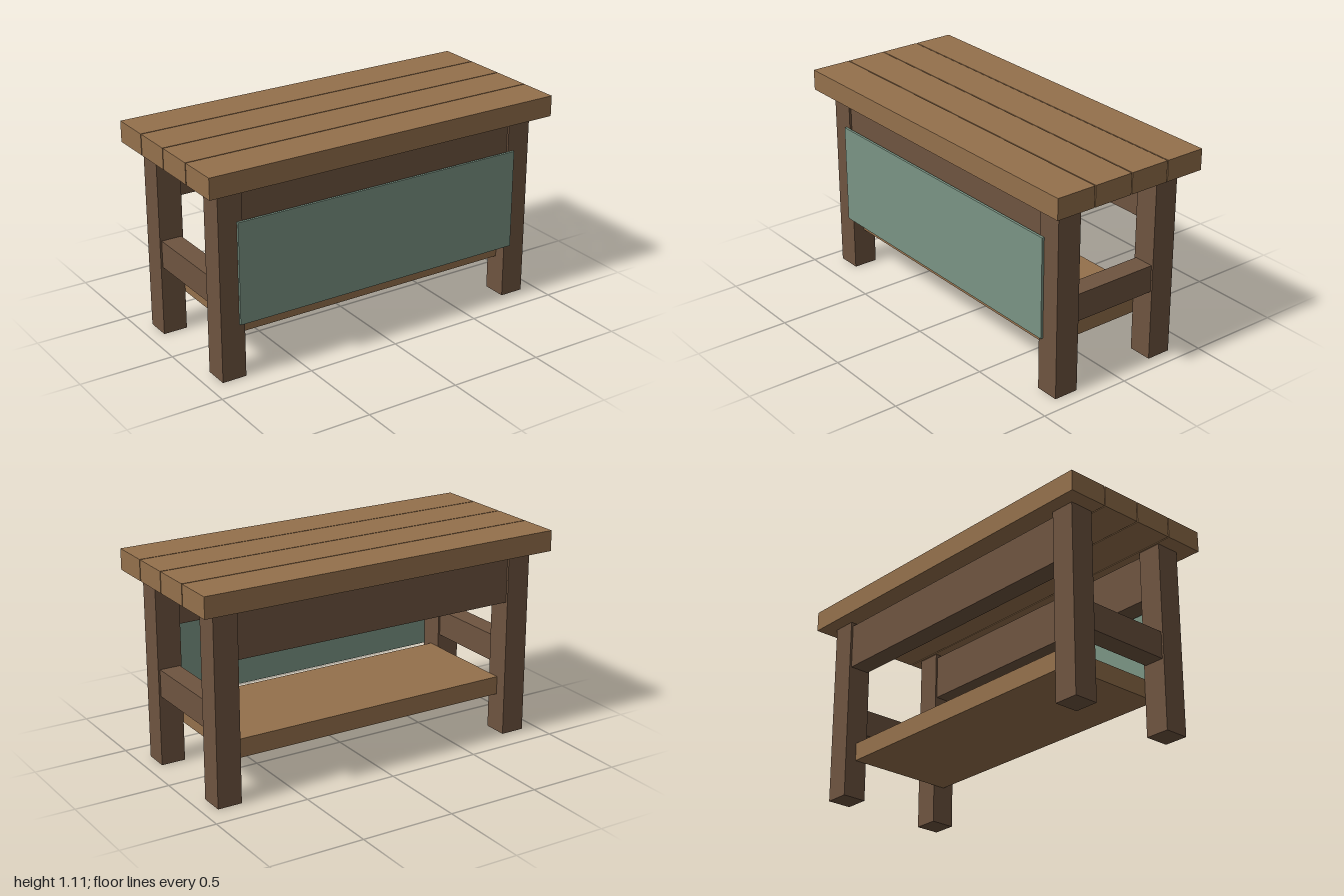
import * as THREE from 'three';

export function createModel() {
  const group = new THREE.Group();
  const material = (color) => new THREE.MeshStandardMaterial({ color });
  const boardWood = material(0x94704c);
  const frameWood = material(0x6e5440);
  const green = material(0x7a9484);

  // Box given by its lower and upper limits on each axis
  function addBox(name, mat, [x0, x1], [y0, y1], [z0, z1]) {
    const mesh = new THREE.Mesh(new THREE.BoxGeometry(x1 - x0, y1 - y0, z1 - z0), mat);
    mesh.position.set((x0 + x1) / 2, (y0 + y1) / 2, (z0 + z1) / 2);
    mesh.name = name;
    group.add(mesh);
  }
  // Limits mirrored to the given side
  const mirror = (side, a, b) => (side > 0 ? [a, b] : [-b, -a]);

  // Four top boards with narrow gaps
  const boardWidth = 0.217, pitch = 0.2225;
  for (let i = 0; i < 4; i++) {
    const z = (i - 1.5) * pitch;
    addBox(`topBoard${i + 1}`, boardWood, [-1, 1], [1, 1.11], [z - boardWidth / 2, z + boardWidth / 2]);
  }

  for (const side of [1, -1]) {
    const end = side > 0 ? 'left' : 'right';
    const face = side > 0 ? 'front' : 'back';

    // Legs
    for (const zs of [1, -1]) {
      addBox(`${end}${zs > 0 ? 'Front' : 'Back'}Leg`, frameWood,
        mirror(side, 0.79, 0.92), [0, 1], mirror(zs, 0.235, 0.367));
    }

    // End stretcher between the legs
    addBox(`${end}Stretcher`, frameWood, mirror(side, 0.80, 0.91), [0.374, 0.518], [-0.235, 0.235]);

    // Long apron below the top
    addBox(`${face}Apron`, frameWood, [-0.79, 0.79], [0.735, 0.98], mirror(side, 0.245, 0.355));
  }

  // Lower shelf
  addBox('shelf', boardWood, [-0.79, 0.79], [0.208, 0.306], [-0.303, 0.303]);

  // Thin panel on the front legs
  addBox('frontPanel', green, [-0.82, 0.82], [0.29, 0.824], [0.367, 0.38]);

  return group;
}
